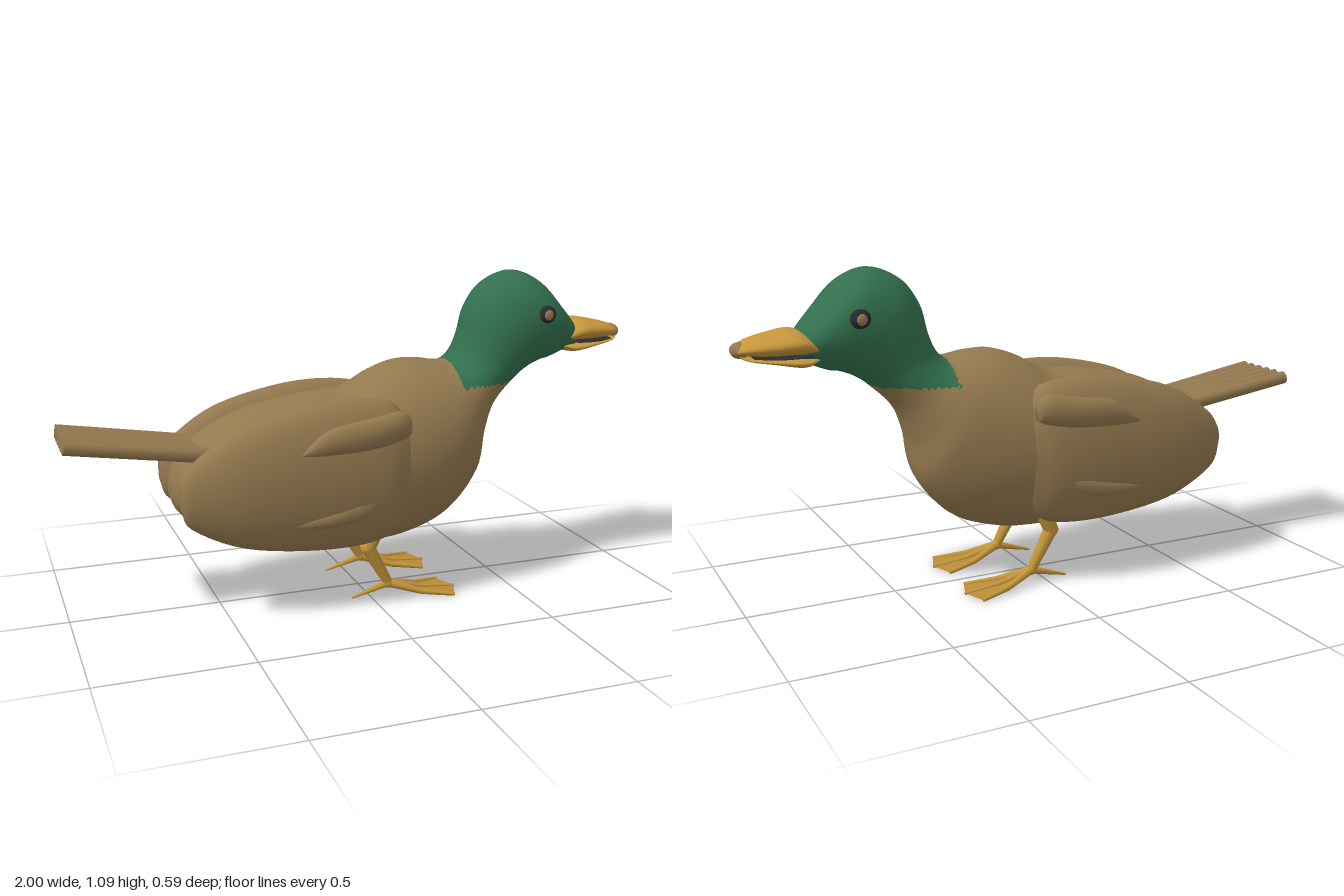
import * as THREE from 'three';

const mat = (name, color) => {
  const m = new THREE.MeshStandardMaterial({ color });
  m.name = name;
  return m;
};

// Smooth closed loft. Each ring: [topX, topY, bottomX, bottomY, halfWidth, centreZ]
function loft(rings, seg = 28, sub = 4) {
  const top = new THREE.CatmullRomCurve3(rings.map(r => new THREE.Vector3(r[0], r[1], r[4])), false, 'catmullrom', 0.5);
  const bot = new THREE.CatmullRomCurve3(rings.map(r => new THREE.Vector3(r[2], r[3], r[5] || 0)), false, 'catmullrom', 0.5);
  const n = (rings.length - 1) * sub, pos = [], idx = [];
  for (let i = 0; i <= n; i++) {
    const a = top.getPoint(i / n), b = bot.getPoint(i / n);
    for (let j = 0; j < seg; j++) {
      const t = (j / seg) * Math.PI * 2, c = Math.cos(t) / 2;
      pos.push((a.x + b.x) / 2 + (a.x - b.x) * c, (a.y + b.y) / 2 + (a.y - b.y) * c, b.z + a.z * Math.sin(t));
    }
  }
  for (let i = 0; i < n; i++) for (let j = 0; j < seg; j++) {
    const p = i * seg + j, q = i * seg + (j + 1) % seg;
    idx.push(p, q, p + seg, q, q + seg, p + seg);
  }
  // end caps
  for (const i of [0, n]) {
    const a = top.getPoint(i / n), b = bot.getPoint(i / n), c = pos.length / 3;
    pos.push((a.x + b.x) / 2, (a.y + b.y) / 2, b.z);
    for (let j = 0; j < seg; j++) {
      const p = i * seg + j, q = i * seg + (j + 1) % seg;
      if (i === 0) idx.push(c, q, p); else idx.push(c, p, q);
    }
  }
  const g = new THREE.BufferGeometry();
  g.setAttribute('position', new THREE.Float32BufferAttribute(pos, 3));
  g.setIndex(idx);
  g.computeVertexNormals();
  return g;
}

// Keep only the faces whose centre passes the test
function pick(geo, test) {
  const p = geo.attributes.position, src = geo.index.array, out = [];
  for (let k = 0; k < src.length; k += 3) {
    const [a, b, c] = [src[k], src[k + 1], src[k + 2]];
    if (test((p.getX(a) + p.getX(b) + p.getX(c)) / 3, (p.getY(a) + p.getY(b) + p.getY(c)) / 3)) out.push(a, b, c);
  }
  const g = geo.clone();
  g.setIndex(out);
  return g;
}

// Tapered rod between two points
function rod(a, b, ra, rb, sides = 10) {
  const A = new THREE.Vector3(...a), B = new THREE.Vector3(...b), d = B.clone().sub(A);
  const g = new THREE.CylinderGeometry(rb, ra, d.length(), sides);
  g.applyQuaternion(new THREE.Quaternion().setFromUnitVectors(new THREE.Vector3(0, 1, 0), d.normalize()));
  g.translate((A.x + B.x) / 2, (A.y + B.y) / 2, (A.z + B.z) / 2);
  return g;
}

export function createModel() {
  const model = new THREE.Group();
  model.name = 'duck';
  const brown = mat('brown feathers', 0x94794f), green = mat('green head', 0x32704e);
  const orange = mat('bill and feet', 0xc4953a), dark = mat('dark eye', 0x2a2a30);
  const web = mat('webbing', 0xb98c36);
  web.side = THREE.DoubleSide;
  const add = (name, geo, m, parent = model) => {
    const mesh = new THREE.Mesh(geo, m);
    mesh.name = name;
    parent.add(mesh);
    return mesh;
  };

  // Body, neck and head in one continuous skin
  const skin = loft([
    [-0.655, 0.45, -0.655, 0.39, 0.04], [-0.62, 0.53, -0.63, 0.34, 0.12],
    [-0.54, 0.60, -0.55, 0.27, 0.17], [-0.4, 0.665, -0.4, 0.205, 0.215],
    [-0.2, 0.705, -0.2, 0.175, 0.24], [-0.05, 0.72, 0, 0.175, 0.25],
    [0.05, 0.77, 0.15, 0.19, 0.25], [0.14, 0.80, 0.3, 0.25, 0.237],
    [0.22, 0.80, 0.41, 0.38, 0.215], [0.28, 0.79, 0.44, 0.52, 0.185],
    [0.32, 0.79, 0.485, 0.63, 0.155], [0.35, 0.82, 0.57, 0.715, 0.138],
    [0.375, 0.88, 0.62, 0.75, 0.14], [0.4, 0.97, 0.67, 0.77, 0.148],
    [0.46, 1.05, 0.7, 0.775, 0.152], [0.56, 1.09, 0.73, 0.785, 0.148],
    [0.65, 1.06, 0.755, 0.795, 0.132], [0.72, 0.99, 0.78, 0.80, 0.11],
    [0.78, 0.925, 0.8, 0.805, 0.085], [0.81, 0.89, 0.81, 0.82, 0.05],
  ], 48, 6);
  const isHead = (x, y) => x > 0.32 && y > 0.715;
  add('body', pick(skin, (x, y) => !isHead(x, y)), brown);
  add('head', pick(skin, isHead), green);

  // Bill with a dark mouth line and a tip
  add('upperBill', loft([
    [0.74, 0.865, 0.74, 0.835, 0.095], [0.8, 0.912, 0.8, 0.835, 0.12], [0.88, 0.905, 0.88, 0.835, 0.105],
    [0.95, 0.888, 0.95, 0.84, 0.075], [0.985, 0.87, 0.985, 0.845, 0.04],
  ]), orange);
  add('lowerBill', loft([
    [0.74, 0.835, 0.745, 0.812, 0.08], [0.79, 0.835, 0.79, 0.795, 0.1], [0.88, 0.835, 0.88, 0.812, 0.088],
    [0.95, 0.838, 0.95, 0.825, 0.062], [0.98, 0.845, 0.98, 0.838, 0.035],
  ]), orange);
  add('mouthLine', loft([
    [0.77, 0.842, 0.77, 0.834, 0.1], [0.8, 0.841, 0.8, 0.833, 0.112], [0.88, 0.839, 0.88, 0.831, 0.096],
    [0.94, 0.842, 0.94, 0.835, 0.07],
  ]), dark);
  const tip = add('billTip', new THREE.SphereGeometry(1, 16, 12), brown);
  tip.scale.set(0.028, 0.025, 0.045);
  tip.position.set(0.972, 0.857, 0);

  // Tail feathers
  for (let i = 0; i < 6; i++) {
    const z = (i - 2.5) * 0.046;
    add('tailFeather', rod([-0.5, 0.54, z * 0.8], [-0.998, 0.617, z], 0.026, 0.023, 12), brown);
  }

  for (const s of [1, -1]) {
    const side = new THREE.Group();
    side.name = s > 0 ? 'rightSide' : 'leftSide';
    model.add(side);

    // Folded wing with two raised feather layers
    add('wing', loft([
      [-0.655, 0.49, -0.655, 0.40, 0.02, s * 0.18], [-0.61, 0.55, -0.62, 0.33, 0.05, s * 0.175],
      [-0.45, 0.65, -0.45, 0.25, 0.085, s * 0.18], [-0.2, 0.71, -0.2, 0.215, 0.1, s * 0.18],
      [0, 0.71, 0, 0.225, 0.095, s * 0.18], [0.08, 0.67, 0.08, 0.28, 0.075, s * 0.18],
      [0.12, 0.56, 0.12, 0.38, 0.05, s * 0.19],
    ], 32, 5), brown, side);
    add('upperWingFeathers', loft([
      [-0.28, 0.57, -0.28, 0.56, 0.008, s * 0.262], [-0.19, 0.64, -0.2, 0.555, 0.026, s * 0.262],
      [-0.05, 0.665, -0.06, 0.56, 0.034, s * 0.26], [0.05, 0.68, 0.04, 0.575, 0.034, s * 0.25],
      [0.09, 0.66, 0.09, 0.595, 0.022, s * 0.245],
    ], 14, 3), brown, side);
    add('lowerWingFeathers', loft([
      [-0.37, 0.335, -0.37, 0.32, 0.01, s * 0.24], [-0.2, 0.37, -0.2, 0.31, 0.025, s * 0.25],
      [-0.06, 0.41, -0.06, 0.33, 0.025, s * 0.25], [0, 0.43, 0, 0.39, 0.012, s * 0.25],
    ], 12, 3), brown, side);

    // Eye with a brown iris
    const eye = add('eye', new THREE.SphereGeometry(1, 20, 14), dark, side);
    eye.scale.set(0.034, 0.031, 0.02);
    eye.position.set(0.635, 0.948, s * 0.142);
    const iris = add('iris', new THREE.SphereGeometry(1, 16, 10), brown, side);
    iris.scale.set(0.018, 0.018, 0.008);
    iris.position.set(0.635, 0.948, s * 0.157);

    // Leg
    const z = s * 0.14, ankle = [0.06, 0.05, z];
    add('thigh', rod([0.025, 0.27, s * 0.145], [-0.015, 0.185, z], 0.028, 0.026), orange, side);
    const knee = add('knee', new THREE.SphereGeometry(0.026, 12, 8), orange, side);
    knee.position.set(-0.015, 0.185, z);
    add('shin', rod([-0.015, 0.185, z], ankle, 0.025, 0.016), orange, side);
    const joint = add('ankle', new THREE.SphereGeometry(0.018, 10, 8), orange, side);
    joint.position.set(...ankle);

    // Toes, each bent onto the ground, and the web between them
    const tips = [[0.275, -0.08], [0.305, 0], [0.275, 0.08]];
    for (const [x, dz] of tips) {
      const mid = [0.06 + (x - 0.06) * 0.5, 0.02, z + dz * 0.55];
      add('toe', rod(ankle, mid, 0.015, 0.01, 8), orange, side);
      add('toeTip', rod(mid, [x, 0.008, z + dz], 0.01, 0.006, 8), orange, side);
    }
    add('backToe', rod(ankle, [-0.072, 0.012, z], 0.014, 0.004, 8), orange, side);
    const v = [...ankle];
    for (const [x, dz] of tips) v.push(0.06 + (x - 0.06) * 0.5, 0.02, z + dz * 0.55, x, 0.008, z + dz);
    const g = new THREE.BufferGeometry();
    g.setAttribute('position', new THREE.Float32BufferAttribute(v, 3));
    g.setIndex([0, 1, 3, 0, 3, 5, 1, 2, 3, 3, 2, 4, 3, 4, 5, 5, 4, 6].map((k, i, a) => a[i - (i % 3) + [0, 2, 1][i % 3]]));
    g.computeVertexNormals();
    add('web', g, web, side);
  }
  return model;
}
